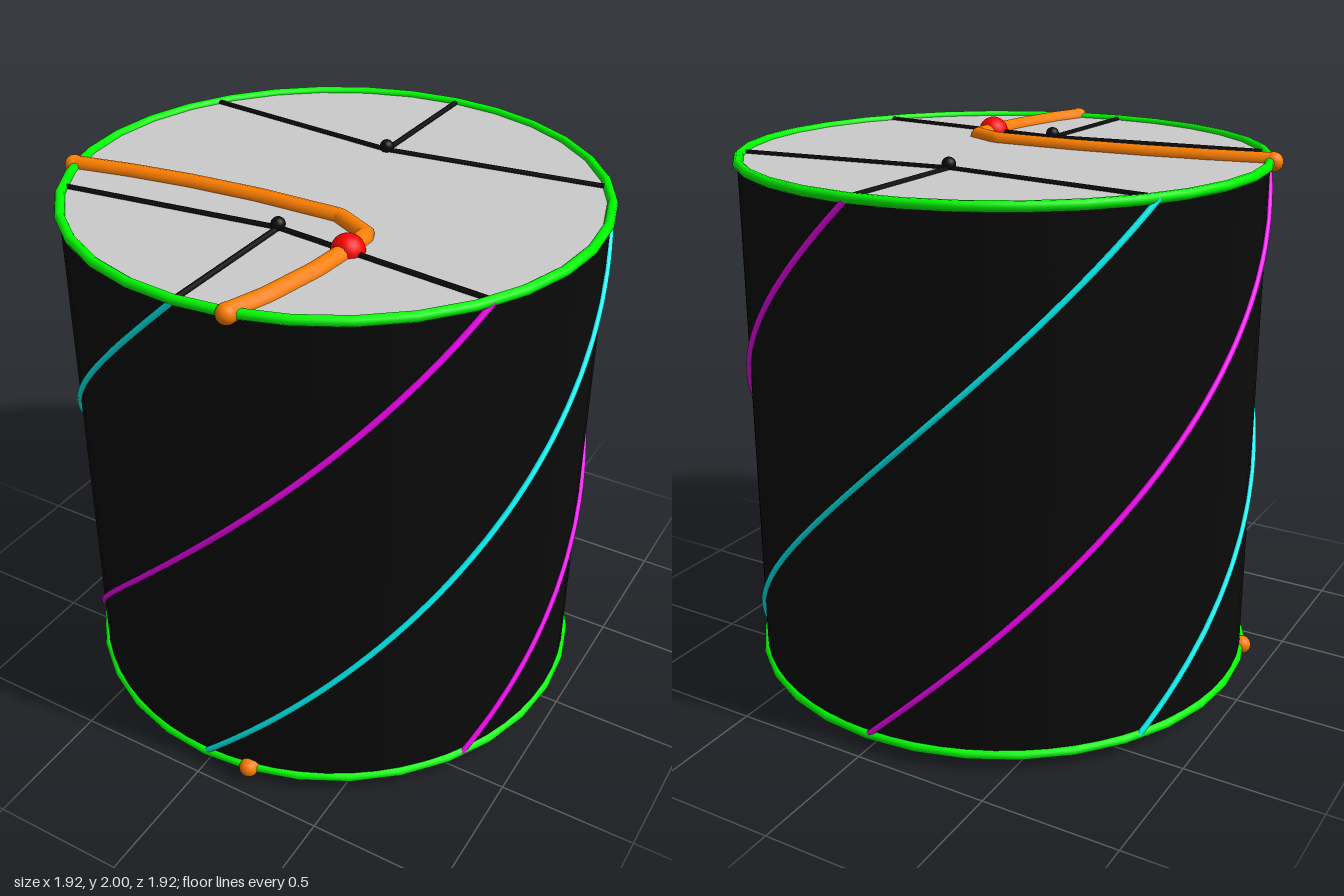
import * as THREE from 'three';

const R = 0.94, LOW = 0.057, HIGH = 1.943, TWIST = Math.PI * 2 / 3, SIDES = 32;

const paint = (color, side = THREE.FrontSide) =>
  new THREE.MeshStandardMaterial({ color, side });
const black = paint(0x0a0a0a), grey = paint(0xcccccc), green = paint(0x00ff00);
const orange = paint(0xff8000), red = paint(0xff0000);
const magenta = paint(0xff00ff), cyan = paint(0x00ffff);

function add(parent, name, geometry, material, position = [0, 0, 0]) {
  const mesh = new THREE.Mesh(geometry, material);
  mesh.name = name;
  mesh.position.set(...position);
  parent.add(mesh);
  return mesh;
}

const ball = (r) => new THREE.SphereGeometry(r, 20, 14);

// Straight round bar between two points
function bar(a, b, r) {
  return new THREE.TubeGeometry(new THREE.LineCurve3(a, b), 1, r, 10);
}

// Bar path made of straight runs with bends kept tight
function polyline(points) {
  const path = new THREE.CurvePath();
  for (let i = 1; i < points.length; i++) {
    path.add(new THREE.LineCurve3(points[i - 1], points[i]));
  }
  return path;
}

// Helical strand climbing the wall from a starting angle
class Helix extends THREE.Curve {
  constructor(start) {
    super();
    this.start = start;
  }
  getPoint(t, target = new THREE.Vector3()) {
    const a = this.start + TWIST * t, r = R + 0.004;
    return target.set(r * Math.sin(a), LOW + (HIGH - LOW) * t, r * Math.cos(a));
  }
}

// Everything that lies on one end face
function endFace(name, y, nodeMaterial, up) {
  const g = new THREE.Group();
  g.name = name;

  const disc = add(g, 'endDisc', new THREE.CircleGeometry(R, SIDES), grey, [0, y, 0]);
  disc.rotation.x = -up * Math.PI / 2;

  const rim = add(g, 'rim', new THREE.TorusGeometry(R, 0.018, 10, SIDES), green, [0, y, 0]);
  rim.rotation.x = Math.PI / 2;

  // Two three-way junctions, front and back
  for (const s of [1, -1]) {
    const node = new THREE.Vector3(0.005 * s, y, 0.375 * s);
    for (let k = -1; k <= 1; k++) {
      const a = k * Math.PI / 3;
      const end = new THREE.Vector3(R * Math.sin(a), y, s * R * Math.cos(a));
      add(g, 'junctionArm', bar(node, end, 0.012), black);
    }
    add(g, 'junctionNode', ball(0.025), nodeMaterial, [node.x, y + up * 0.016, node.z]);
  }

  // Bent thick bar with its ball
  const points = [
    [-0.9, 0.3], [-0.68, 0.257], [-0.45, 0.225], [-0.18, 0.205], [0.14, 0.205],
    [0.28, 0.28], [0.28, 0.4], [0.265, 0.58], [0.225, 0.79], [0.18, 0.93],
  ].map(([x, z]) => new THREE.Vector3(x, y, z));
  const path = polyline(points);
  add(g, 'bentBar', new THREE.TubeGeometry(path, 90, 0.033, 12), orange);
  for (const p of [points[0], points[points.length - 1]]) {
    add(g, 'barEnd', ball(0.035), orange, p.toArray());
  }
  add(g, 'barBall', ball(0.057), red, [0.28, y, 0.4]);
  return g;
}

export function createModel() {
  const model = new THREE.Group();
  model.name = 'twistedDrum';

  // Dark wall
  add(model, 'wall', new THREE.CylinderGeometry(R, R, HIGH - LOW, 64, 1, true),
    paint(0x0a0a0a, THREE.DoubleSide), [0, 1, 0]);

  // Six strands of alternating colour
  for (let i = 0; i < 6; i++) {
    const geometry = new THREE.TubeGeometry(new Helix(i * Math.PI / 3), 48, 0.011, 10);
    add(model, 'strand', geometry, i % 2 ? magenta : cyan);
  }

  model.add(endFace('topFace', HIGH, black, 1));
  model.add(endFace('bottomFace', LOW, grey, -1));
  return model;
}
